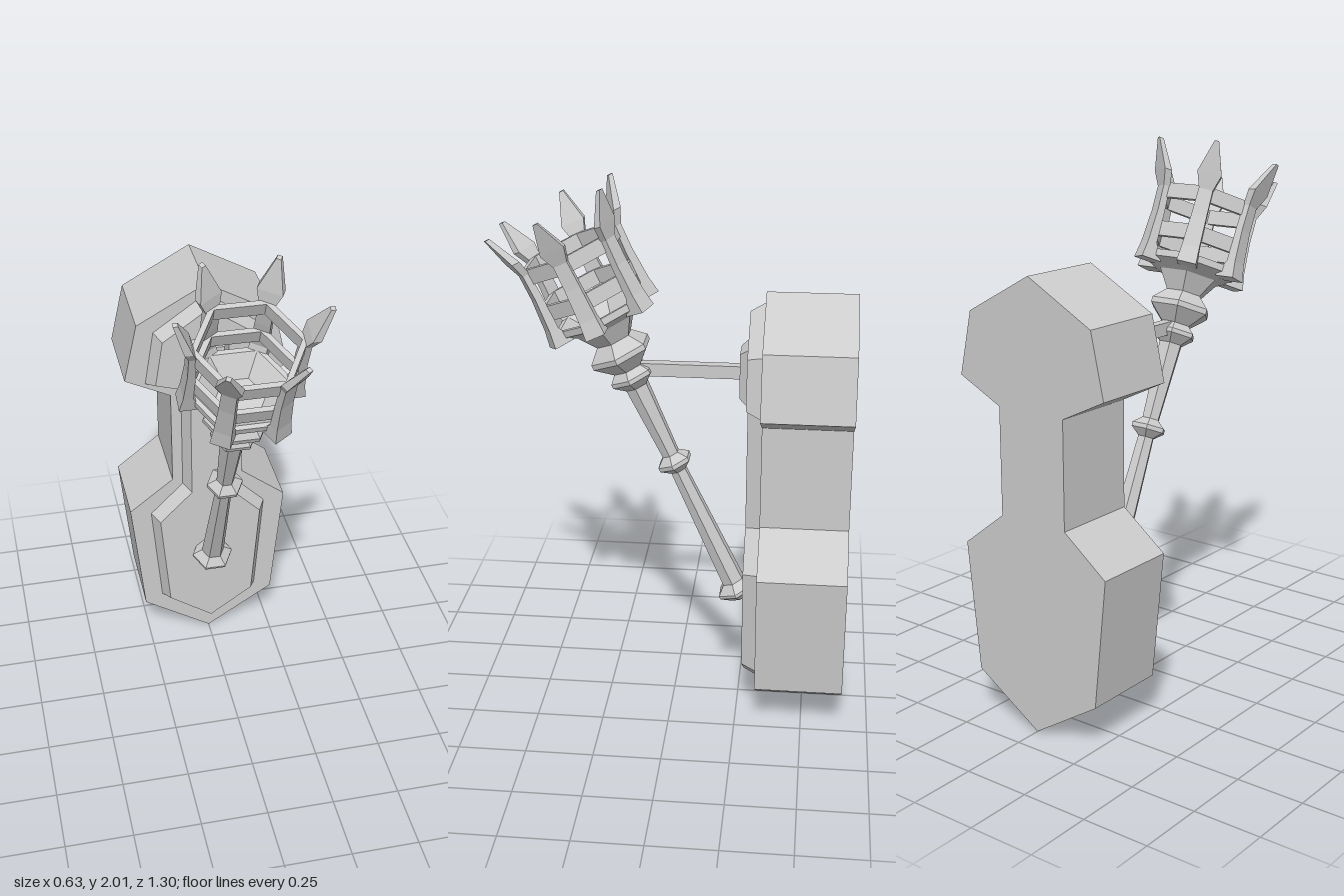
import * as THREE from 'three';

const material = new THREE.MeshStandardMaterial({ color: 0xcccccc, flatShading: true });

function add(parent, name, geometry) {
  const mesh = new THREE.Mesh(geometry, material);
  mesh.name = name;
  parent.add(mesh);
  return mesh;
}

// Outline mirrored in x; the half runs up the +x side, from bottom tip to top tip
function mirroredShape(half) {
  const other = half.slice(1, -1).reverse().map(([x, y]) => [-x, y]);
  return new THREE.Shape([...half, ...other].map(([x, y]) => new THREE.Vector2(x, y)));
}

// Plate whose front edge is chamfered: full outline at zBase, inset at zFront
function chamferedPlate(shape, zBase, zFront, inset) {
  const g = new THREE.ExtrudeGeometry(shape, {
    depth: 0.03, bevelEnabled: true, bevelSegments: 1,
    bevelThickness: zFront - zBase, bevelSize: inset, bevelOffset: -inset,
  });
  return g.translate(0, 0, zBase - 0.03);
}

// Six-sided turned part with corners on the x axis
function hexLathe(profile) {
  return new THREE.LatheGeometry(profile.map(([r, y]) => new THREE.Vector2(r, y)), 6, Math.PI / 6);
}

// Upright bar from rectangular sections: [height, inner radius, outer radius, half width]
function barGeometry(sections) {
  const pos = [];
  const index = [];
  for (const [y, a, b, w] of sections) pos.push(a, y, w, b, y, w, b, y, -w, a, y, -w);
  for (let s = 0; s < sections.length - 1; s++) {
    for (let k = 0; k < 4; k++) {
      const p = s * 4 + k;
      const q = s * 4 + (k + 1) % 4;
      index.push(p, q, q + 4, p, q + 4, p + 4);
    }
  }
  const e = (sections.length - 1) * 4;
  index.push(0, 2, 1, 0, 3, 2, e, e + 1, e + 2, e, e + 2, e + 3);
  const g = new THREE.BufferGeometry();
  g.setAttribute('position', new THREE.Float32BufferAttribute(pos, 3));
  g.setIndex(index);
  g.computeVertexNormals();
  return g;
}

export function createModel() {
  const model = new THREE.Group();
  model.name = 'wallTorch';

  // Thick wall plaque
  const plaque = mirroredShape([
    [0, 0], [0.265, 0.17], [0.313, 0.645], [0.14, 0.78],
    [0.14, 1.17], [0.313, 1.255], [0.262, 1.485], [0, 1.63],
  ]);
  add(model, 'wallPlaque', new THREE.ExtrudeGeometry(plaque, { depth: 0.325, bevelEnabled: false })
    .translate(0, 0, -0.65));

  // Raised panel on the plaque
  const panel = mirroredShape([
    [0, 0.07], [0.195, 0.205], [0.23, 0.625], [0.1, 0.755],
    [0.1, 1.195], [0.235, 1.235], [0.2, 1.45], [0, 1.59],
  ]);
  add(model, 'raisedPanel', chamferedPlate(panel, -0.325, -0.27, 0.027));

  // Arm and its mount
  const mount = new THREE.Shape([[-0.075, 1.22], [0.075, 1.22], [0.075, 1.435], [-0.075, 1.435]]
    .map(([x, y]) => new THREE.Vector2(x, y)));
  add(model, 'armMount', chamferedPlate(mount, -0.27, -0.238, 0.024));
  add(model, 'arm', new THREE.BoxGeometry(0.04, 0.048, 0.4)).position.set(0, 1.33, -0.06);

  // Leaning torch, its origin at the middle ring
  const torch = new THREE.Group();
  torch.name = 'torch';
  torch.position.set(0, 0.968, 0);
  torch.rotation.x = THREE.MathUtils.degToRad(25);
  model.add(torch);

  // Handle with bottom knob, middle ring and collars
  add(torch, 'handle', hexLathe([
    [0, -0.6], [0.045, -0.6], [0.08, -0.572], [0.08, -0.56], [0.045, -0.53],
    [0.032, -0.035], [0.068, -0.008], [0.068, 0.008], [0.034, 0.035],
    [0.046, 0.325], [0.086, 0.358], [0.086, 0.374], [0.06, 0.4],
    [0.12, 0.453], [0.12, 0.473], [0.065, 0.525], [0, 0.525],
  ]));

  // Hollow cup under the basket
  add(torch, 'cup', hexLathe([
    [0, 0.515], [0.07, 0.515], [0.12, 0.585], [0.185, 0.615], [0.185, 0.64],
    [0.165, 0.64], [0.09, 0.575], [0, 0.575],
  ]));

  // Basket hoops: [bottom, top, outer radius]
  for (const [y0, y1, r] of [[0.69, 0.745, 0.19], [0.835, 0.89, 0.195]]) {
    const i = r - 0.022;
    add(torch, 'basketHoop', hexLathe([[r, y0], [r, y1], [i, y1], [i, y0], [r, y0]]));
  }

  // Six spear-tipped bars at the hoop corners
  const bar = barGeometry([
    [0.597, 0.14, 0.217, 0.036], [0.66, 0.172, 0.207, 0.032], [0.78, 0.172, 0.2, 0.028],
    [0.875, 0.176, 0.202, 0.026], [0.93, 0.193, 0.222, 0.045], [1.042, 0.243, 0.26, 0.008],
  ]);
  for (let i = 0; i < 6; i++) add(torch, 'basketBar', bar).rotation.y = i * Math.PI / 3;

  return model;
}
